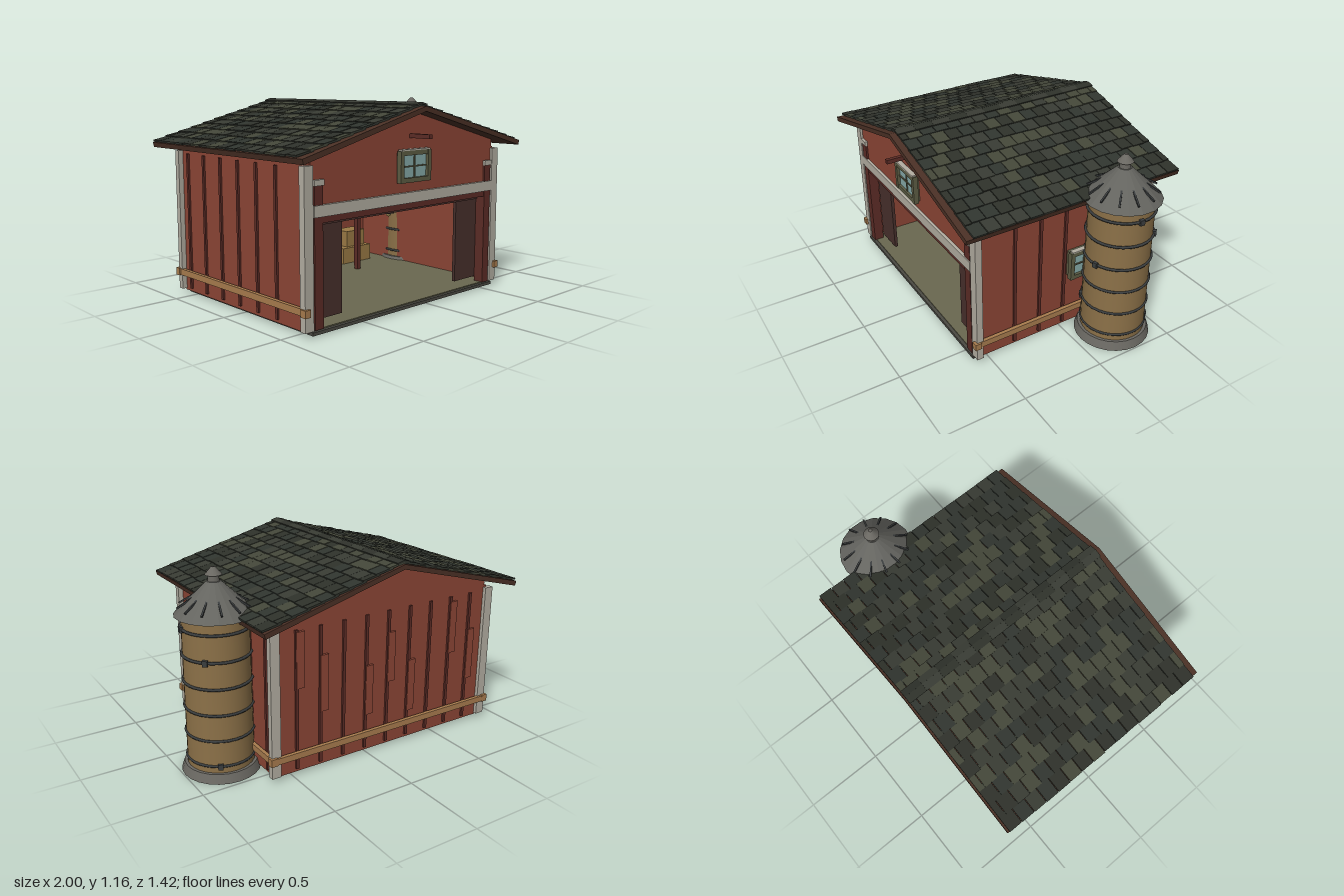
import * as THREE from 'three';
import { mergeGeometries } from 'three/addons/utils/BufferGeometryUtils.js';

const mat = (color, extra = {}) => new THREE.MeshStandardMaterial({ color, ...extra });
const M = {
  wall: mat(0x8c4535), batten: mat(0x5c2c26), door: mat(0x48302c), trim: mat(0xb3aea2),
  wood: mat(0xa87c4e), roof: mat(0x4a3025), base: mat(0x4a4942), floor: mat(0x6a6850),
  frame: mat(0x5c5c44), glass: mat(0x86aaa8), hay: mat(0x9a7a45), lamp: mat(0xb09a60),
  silo: mat(0x8c7148), band: mat(0x3a3d3e), metal: mat(0x6a6862),
  tin: mat(0x64645f, { flatShading: true }),
};
const TILES = [0x2e312a, 0x383b33, 0x444739, 0x30352f].map((c) => mat(c));

function add(parent, name, geometry, material, x = 0, y = 0, z = 0) {
  const mesh = new THREE.Mesh(geometry, material);
  mesh.name = name;
  mesh.position.set(x, y, z);
  parent.add(mesh);
  return mesh;
}

// Box given by its limits on each axis
const box = (parent, name, material, [x0, x1], [y0, y1], [z0, z1]) =>
  add(parent, name, new THREE.BoxGeometry(x1 - x0, y1 - y0, z1 - z0), material,
    (x0 + x1) / 2, (y0 + y1) / 2, (z0 + z1) / 2);

// Flat outline pushed along z
function slab(parent, name, material, points, z0, z1) {
  const shape = new THREE.Shape(points.map(([x, y]) => new THREE.Vector2(x, y)));
  const g = new THREE.ExtrudeGeometry(shape, { depth: z1 - z0, bevelEnabled: false });
  return add(parent, name, g, material, 0, 0, z0);
}

function seeded(seed) {
  return () => (seed = (seed * 16807) % 2147483647) / 2147483647;
}

// Window facing +z, centred on its own origin
function makeWindow(name, w, h) {
  const g = new THREE.Group();
  g.name = name;
  const t = 0.026, a = w / 2, b = h / 2;
  for (const s of [-1, 1]) {
    box(g, 'windowJamb', M.frame, [s * (a - t / 2) - t / 2, s * (a - t / 2) + t / 2], [-b, b], [0, 0.03]);
    box(g, 'windowRail', M.frame, [-a, a], [s * (b - t / 2) - t / 2, s * (b - t / 2) + t / 2], [0, 0.028]);
  }
  box(g, 'windowHood', M.trim, [-a + 0.01, a - 0.01], [b, b + 0.008], [0, 0.03]);
  box(g, 'glass', M.glass, [-a + t, a - t], [-b + t, b - t], [0, 0.012]);
  box(g, 'muntin', M.frame, [-0.004, 0.004], [-b + t, b - t], [0.01, 0.018]);
  box(g, 'muntin', M.frame, [-a + t, a - t], [-0.004, 0.004], [0.01, 0.018]);
  return g;
}

function makeRoof() {
  const roof = new THREE.Group();
  roof.name = 'roof';
  slab(roof, 'roofDeck', M.roof,
    [[0, 1.138], [-0.862, 0.912], [-0.855, 0.884], [0, 1.11], [0.855, 0.884], [0.862, 0.912]], -0.71, 0.68);

  // Staggered shingles in several tones, overlapping down the slope
  const rand = seeded(77), tones = TILES.map(() => []);
  const angle = Math.atan2(0.226, 0.862), rows = 10, pitch = 0.086, width = 0.084;
  for (const side of [-1, 1]) {
    for (let r = 0; r < rows; r++) {
      const d = 0.865 - r * pitch - 0.052;
      let z = -0.7 + (r % 2 ? width / 2 : 0);
      if (r % 2) z -= width;
      while (z < 0.63) {
        const z0 = Math.max(z, -0.7), z1 = Math.min(z + width, 0.645);
        if (z1 - z0 > 0.015) {
          const g = new THREE.BoxGeometry(0.105 + rand() * 0.012, 0.011, z1 - z0 - 0.004);
          g.rotateZ(-side * (angle - 0.06));
          g.translate(side * d, 1.138 - d * Math.tan(angle) + 0.007 + rand() * 0.003, (z0 + z1) / 2);
          tones[Math.floor(rand() * TILES.length)].push(g);
        }
        z += width;
      }
    }
  }
  tones.forEach((list, i) => add(roof, 'shingles', mergeGeometries(list), TILES[i]));

  // Ridge caps
  for (let i = 0; i < 12; i++) {
    for (const s of [-1, 1]) {
      const cap = add(roof, 'ridgeCap', new THREE.BoxGeometry(0.045, 0.01, 0.112), TILES[i % 2], s * 0.02, 1.149, -0.645 + i * 0.1125);
      cap.rotation.z = -s * angle;
    }
  }
  return roof;
}

function makeBarn() {
  const barn = new THREE.Group();
  barn.name = 'barn';
  box(barn, 'foundation', M.base, [-0.73, 0.73], [0.008, 0.026], [-0.56, 0.59]);
  box(barn, 'floor', M.floor, [-0.725, 0.725], [0.026, 0.032], [-0.56, 0.57]);

  // Walls and gables
  const gable = (bottom) => [[-0.725, bottom], [0.725, bottom], [0.725, 0.918], [0, 1.112], [-0.725, 0.918]];
  slab(barn, 'frontGable', M.wall, gable(0.6), 0.54, 0.57);
  slab(barn, 'backWall', M.wall, gable(0.02), -0.585, -0.56);
  for (const s of [-1, 1]) {
    const X = (a, b) => (s > 0 ? [a, b] : [-b, -a]);
    box(barn, 'sideWall', M.wall, X(0.725, 0.745), [0.02, 0.875], [-0.58, 0.565]);
    for (let i = 0; i < 6; i++) {
      const z = 0.325 - i * 0.167;
      box(barn, 'sideBatten', M.batten, X(0.745, 0.756), [0.04, 0.85], [z - 0.009, z + 0.009]);
    }
    box(barn, 'frontCornerTrim', M.trim, X(0.718, 0.775), [0.03, 0.865], [0.545, 0.585]);
    box(barn, 'backCornerTrim', M.trim, X(0.718, 0.775), [0.03, 0.865], [-0.607, -0.572]);
    box(barn, 'sideRail', M.wood, X(0.756, 0.778), [0.115, 0.152], [-0.61, 0.6]);
    box(barn, 'railBlock', M.wood, X(0.745, 0.786), [0.112, 0.156], [-0.622, -0.585]);
    box(barn, 'railEnd', M.wood, X(0.75, 0.786), [0.112, 0.152], [0.56, 0.6]);

    // Doorway posts, sliding doors and inner posts
    box(barn, 'doorPost', M.batten, X(0.652, 0.708), [0.03, 0.78], [0.52, 0.582]);
    box(barn, 'postCap', M.trim, X(0.648, 0.712), [0.762, 0.792], [0.57, 0.588]);
    box(barn, 'slidingDoor', M.door, X(0.465, 0.66), [0.058, 0.57], [0.495, 0.515]);
    box(barn, 'innerPost', M.batten, X(0.315, 0.342), [0.03, 0.92], [-0.22, -0.19]);
    box(barn, 'hayBale', M.hay, X(0.345, 0.6), [0.032, 0.138], [-0.5, -0.36]);
    box(barn, 'hayBale', M.hay, X(0.405, 0.57), [0.138, 0.245], [-0.51, -0.39]);
  }
  box(barn, 'backRail', M.wood, [-0.778, 0.778], [0.115, 0.152], [-0.62, -0.598]);
  box(barn, 'lintel', M.trim, [-0.712, 0.716], [0.605, 0.665], [0.565, 0.588]);
  box(barn, 'doorHeader', M.batten, [-0.712, 0.716], [0.572, 0.605], [0.535, 0.578]);
  box(barn, 'doorTrack', M.door, [-0.68, 0.68], [0.552, 0.572], [0.515, 0.53]);
  box(barn, 'hoistBeam', M.batten, [-0.012, 0.012], [0.963, 0.987], [0.55, 0.712]);

  // Back battens with repair boards laid over some of them
  const patches = [[0.3, 0.62], [0.5, 0.82], null, [0.2, 0.52], [0.42, 0.72], [0.25, 0.55], null, [0.35, 0.68], [0.52, 0.84]];
  patches.forEach((p, i) => {
    const x = (i - 4) * 0.152;
    box(barn, 'backBatten', M.batten, [x - 0.009, x + 0.009], [0.04, 0.85], [-0.597, -0.585]);
    if (p) box(barn, 'repairBoard', M.wall, [x - 0.045, x + 0.005], p, [-0.601, -0.585]);
  });

  // Hanging lamp
  add(barn, 'lampCord', new THREE.CylinderGeometry(0.004, 0.004, 0.1, 6), M.band, 0, 0.585, 0.4);
  add(barn, 'lampShade', new THREE.CylinderGeometry(0.008, 0.034, 0.022, 12), M.band, 0, 0.535, 0.4);
  add(barn, 'lampBulb', new THREE.SphereGeometry(0.016, 10, 8), M.lamp, 0, 0.52, 0.4);

  // Windows
  const front = makeWindow('gableWindow', 0.245, 0.175);
  front.position.set(0, 0.81, 0.582);
  const side = makeWindow('sideWindow', 0.2, 0.18);
  side.position.set(0.772, 0.452, -0.12);
  side.rotation.y = Math.PI / 2;
  barn.add(front, side);
  box(barn, 'windowBacking', M.frame, [-0.11, 0.11], [0.73, 0.89], [0.565, 0.583]);
  box(barn, 'windowBacking', M.frame, [0.74, 0.773], [0.37, 0.535], [-0.21, -0.03]);

  barn.add(makeRoof());
  return barn;
}

function makeSilo() {
  const silo = new THREE.Group();
  silo.name = 'silo';
  add(silo, 'siloBase', new THREE.CylinderGeometry(0.205, 0.222, 0.052, 24), M.metal, 0, 0.026, 0);
  add(silo, 'siloBody', new THREE.CylinderGeometry(0.183, 0.188, 0.865, 28), M.silo, 0, 0.475, 0);

  // Hoops, each with a clamp turned to a different side
  [-1.1, 2.12, Math.PI, 1.36, -0.8, 0.1].forEach((t, i) => {
    const y = 0.092 + i * 0.15;
    add(silo, 'hoop', new THREE.TorusGeometry(0.188, 0.008, 6, 32), M.band, 0, y, 0).rotation.x = Math.PI / 2;
    const clamp = add(silo, 'hoopClamp', new THREE.BoxGeometry(0.02, 0.032, 0.028), M.band, Math.cos(t) * 0.192, y, Math.sin(t) * 0.192);
    clamp.rotation.y = -t;
  });

  // Conical roof, ribs and vent cap
  add(silo, 'siloRoof', new THREE.CylinderGeometry(0.038, 0.22, 0.175, 18), M.tin, 0, 0.994, 0);
  for (let i = 0; i < 12; i++) {
    const arm = new THREE.Group();
    arm.name = 'roofRib';
    arm.rotation.y = (i + 0.5) * Math.PI / 6;
    const rib = add(arm, 'rib', new THREE.BoxGeometry(0.115, 0.009, 0.01), M.band, 0.15, 0.978, 0);
    rib.rotation.z = -0.55;
    silo.add(arm);
  }
  add(silo, 'ventNeck', new THREE.CylinderGeometry(0.028, 0.032, 0.05, 14), M.metal, 0, 1.1, 0);
  add(silo, 'ventCap', new THREE.CylinderGeometry(0.01, 0.046, 0.042, 14), M.metal, 0, 1.137, 0);
  return silo;
}

export function createModel() {
  const model = new THREE.Group();
  model.name = 'barnWithSilo';
  const barn = makeBarn(), silo = makeSilo();
  barn.position.x = -0.135;
  silo.position.set(0.772, 0, -0.26);
  model.add(barn, silo);
  return model;
}
